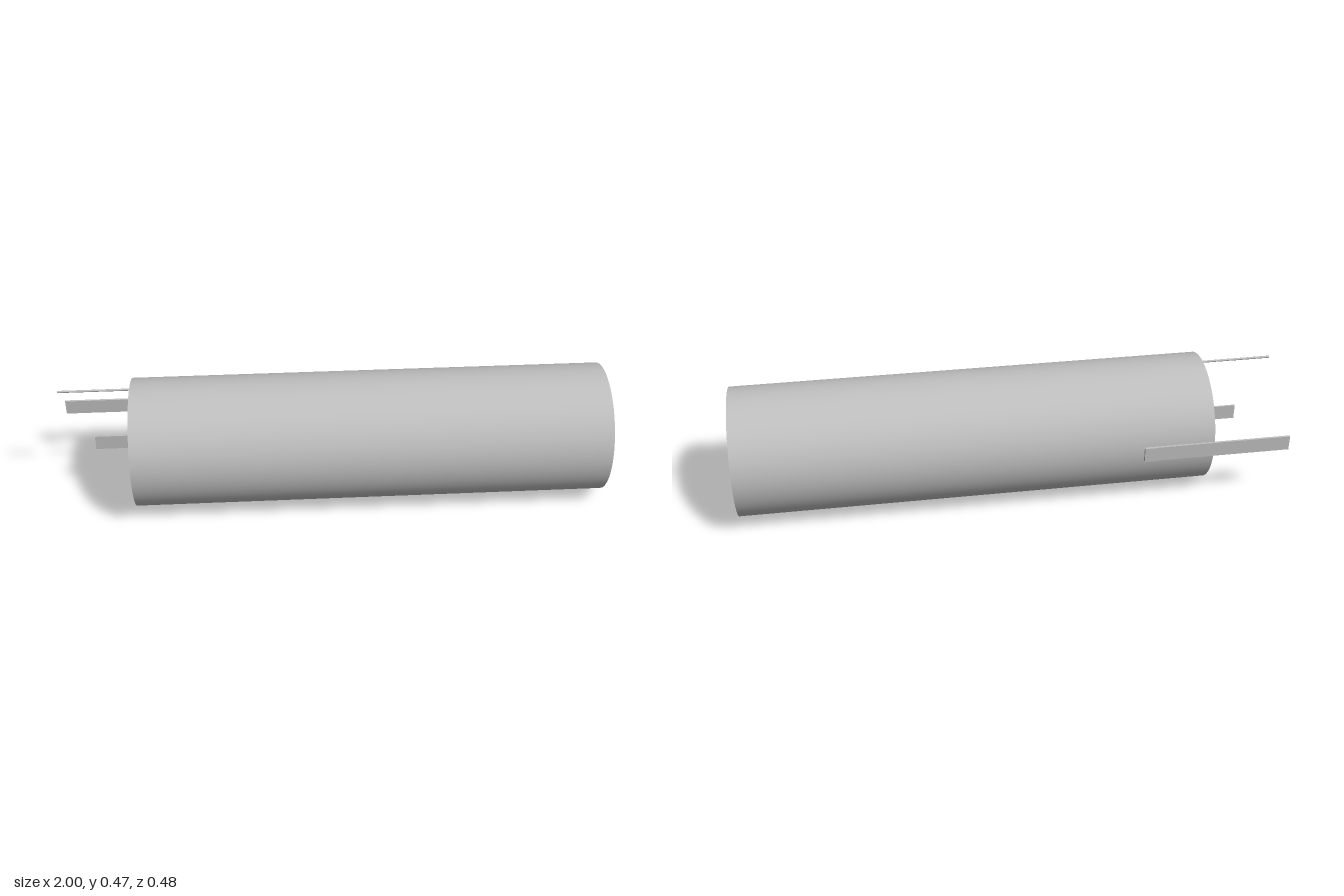
import * as THREE from 'three';

export function createModel() {
  const model = new THREE.Group();
  const metal = new THREE.MeshStandardMaterial({ color: 0xc0c0c0 });
  metal.name = 'light grey';
  const R = 0.235, CY = 0.237, CZ = 0.004;

  const add = (name, geometry, x, y, z) => {
    const mesh = new THREE.Mesh(geometry, metal);
    mesh.name = name;
    mesh.position.set(x, y, z);
    model.add(mesh);
    return mesh;
  };
  const box = (name, x0, x1, y0, y1, z0, z1) =>
    add(name, new THREE.BoxGeometry(x1 - x0, y1 - y0, z1 - z0),
      (x0 + x1) / 2, (y0 + y1) / 2, (z0 + z1) / 2);
  // Cylinder lying along x
  const rod = (name, x0, x1, r, y, z, sides, open) =>
    add(name, new THREE.CylinderGeometry(r, r, x1 - x0, sides, 1, open)
      .rotateZ(Math.PI / 2), (x0 + x1) / 2, y, z);

  // Three cells in a row, with flush wrap bands before, between and after them
  const joints = [-0.72, -0.70, -0.17, -0.13, 0.405, 0.445, 0.98, 1.0];
  for (let i = 0; i < joints.length - 1; i++) {
    rod(i % 2 ? 'cell' : 'wrapBand', joints[i], joints[i + 1], R, CY, CZ, 64, true);
  }

  // Flat ends
  for (const side of [-1, 1]) {
    const cap = add(side < 0 ? 'terminalEnd' : 'closedEnd',
      new THREE.CircleGeometry(R, 64), side < 0 ? -0.72 : 1.0, CY, CZ);
    cap.rotation.y = side * Math.PI / 2;
  }

  // Short upright tab in the middle of the terminal end
  box('centreTab', -0.865, -0.72, 0.209, 0.265, -0.003, 0.003);

  // Long tab along the back, with its welded foot
  box('sideTab', -1.0, -0.46, 0.209, 0.265, -0.239, -0.231);
  box('sideTabFoot', -0.51, -0.46, 0.209, 0.265, -0.241, -0.231);

  // Thin lead leaving the top of the terminal end
  rod('lead', -0.975, -0.72, 0.004, 0.466, 0, 12, false);

  return model;
}
